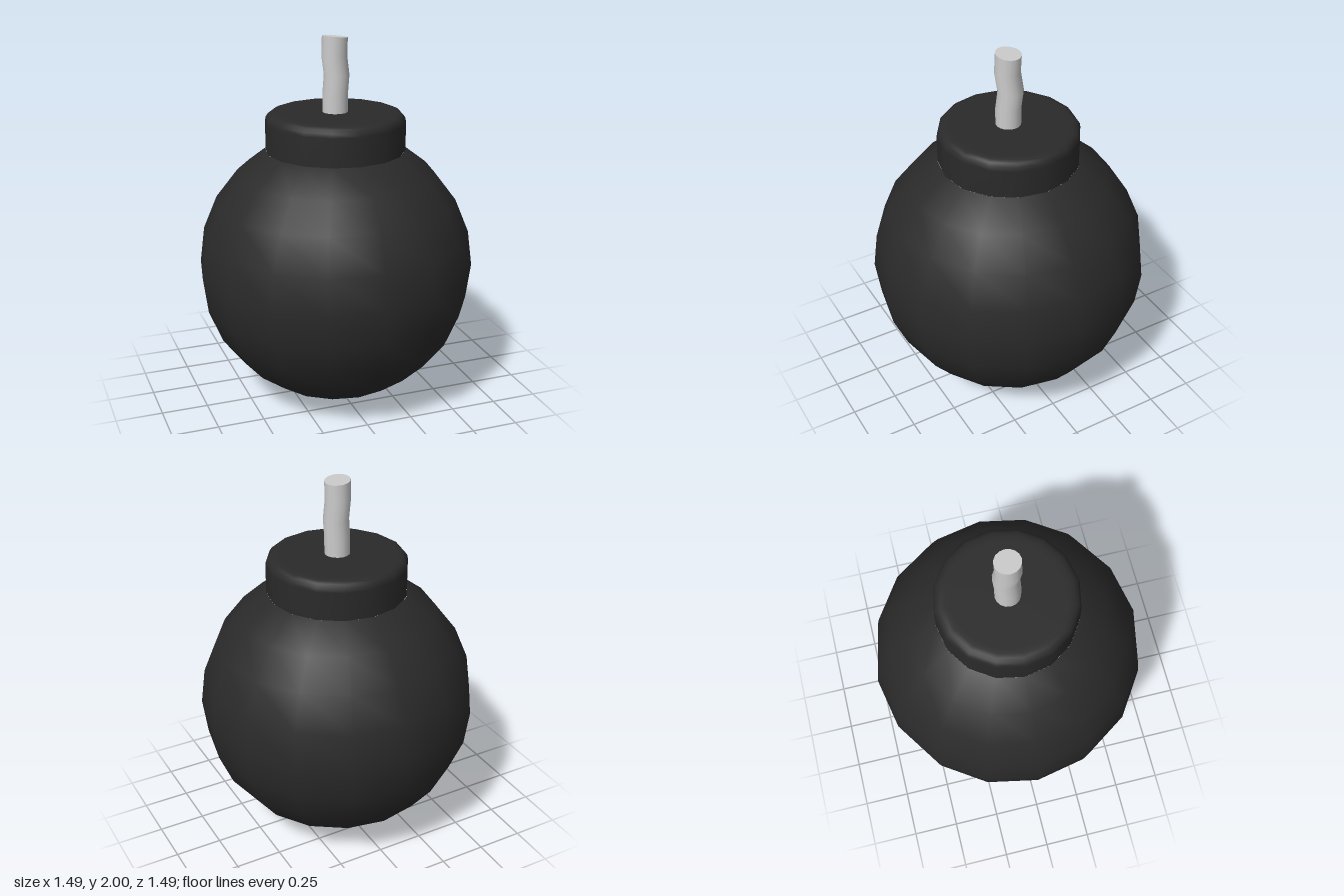
import * as THREE from 'three';

const SIDES = 16;

export function createModel() {
  const model = new THREE.Group();
  const dark = new THREE.MeshStandardMaterial({ color: 0x2a2a2a });
  const grey = new THREE.MeshStandardMaterial({ color: 0xcccccc });
  const add = (name, geometry, material) => {
    const mesh = new THREE.Mesh(geometry, material);
    mesh.name = name;
    model.add(mesh);
  };

  // Round body, open under the collar
  const radius = 0.745;
  const body = new THREE.SphereGeometry(radius, SIDES, 10, 0, Math.PI * 2, Math.PI / 6, Math.PI * 5 / 6);
  body.translate(0, 0.747, 0);
  add('body', body, dark);

  // Collar with a rounded top edge
  const collarProfile = [
    [0.372, 1.392], [0.372, 1.545], [0.368, 1.567], [0.356, 1.584],
    [0.338, 1.594], [0.315, 1.597], [0.29, 1.597], [0, 1.597],
  ].map(([r, y]) => new THREE.Vector2(r, y));
  add('collar', new THREE.LatheGeometry(collarProfile, SIDES), dark);

  // Fuse: a cylinder whose rings are nudged sideways, with a slanted tip
  const bottom = 1.59, step = 0.1005, rings = 4;
  const sway = [[-0.002, 0.002], [-0.002, 0.002], [0.009, -0.005], [-0.007, 0.004], [-0.003, 0.001]];
  const fuse = new THREE.CylinderGeometry(0.067, 0.067, step * rings, SIDES, rings);
  fuse.translate(0, bottom + step * rings / 2, 0);
  const pos = fuse.attributes.position;
  for (let i = 0; i < pos.count; i++) {
    const x = pos.getX(i), y = pos.getY(i), z = pos.getZ(i);
    const ring = Math.round((y - bottom) / step);
    const slant = ring === rings ? -0.1 * x + 0.06 * z : 0;
    pos.setXYZ(i, x + sway[ring][0], y + slant, z + sway[ring][1]);
  }
  add('fuse', fuse, grey);

  return model;
}
